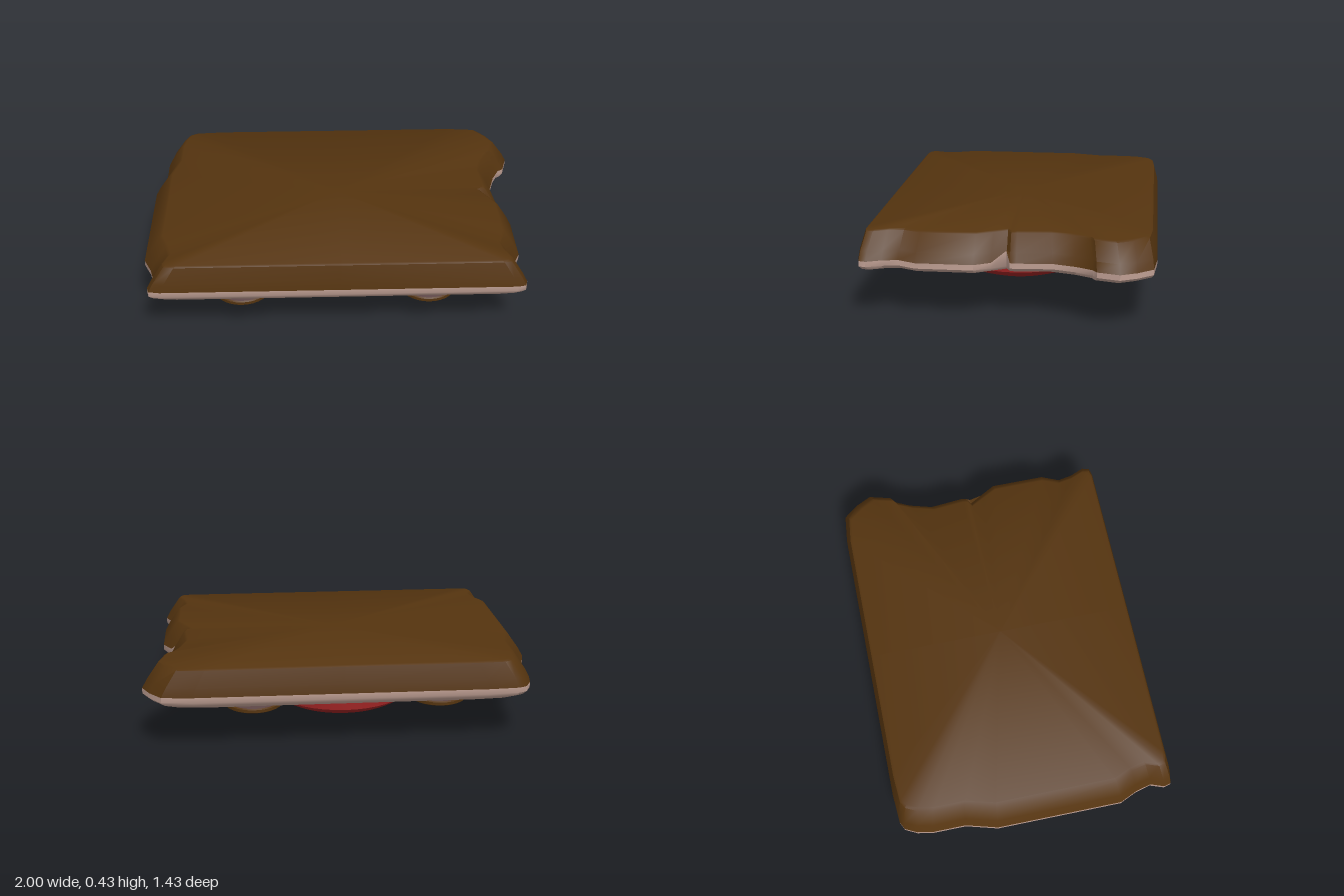
import * as THREE from 'three';
import { toCreasedNormals } from 'three/addons/utils/BufferGeometryUtils.js';

const mat = (name, color, side = THREE.FrontSide) => {
  const m = new THREE.MeshStandardMaterial({ color, side });
  m.name = name;
  return m;
};

// Uneven slab outline, x and z pairs, starting at the back
const OUTLINE = [
  [-0.72, -0.72], [0, -0.72], [0.75, -0.72], [0.9, -0.705], [0.96, -0.63], [1, -0.55], [0.97, -0.44],
  [0.94, -0.42], [0.9, -0.34], [0.865, -0.22], [0.88, -0.05], [0.875, -0.02], [0.84, 0], [0.88, 0.07],
  [0.925, 0.15], [0.925, 0.43], [0.885, 0.52], [0.9, 0.6], [0.93, 0.67], [0.92, 0.705], [0.88, 0.715],
  [0, 0.715], [-0.9, 0.715], [-0.955, 0.705], [-0.965, 0.67], [-0.94, 0.6], [-0.96, 0.52], [-1, 0.43],
  [-1, -0.22], [-0.955, -0.38], [-0.955, -0.55], [-0.94, -0.63], [-0.91, -0.69], [-0.87, -0.71],
];
const NOTCH = 12;

// Skin scaled copies of the outline, given bottom to top as [y, xScale, zScale, notchRise]
function loft(levels, cap) {
  const n = OUTLINE.length, pos = [], idx = [];
  for (const [y, sx, sz, rise = 0] of levels)
    OUTLINE.forEach(([x, z], i) => pos.push(x * sx, y + (i === NOTCH ? rise : 0), z * sz));
  for (let k = 0; k < levels.length - 1; k++)
    for (let i = 0; i < n; i++) {
      const a = k * n + i, b = k * n + (i + 1) % n;
      idx.push(a, a + n, b, b, a + n, b + n);
    }
  const top = cap === 'top', base = top ? (levels.length - 1) * n : 0;
  const c = pos.length / 3;
  pos.push(0, levels[top ? levels.length - 1 : 0][0], 0);
  for (let i = 0; i < n; i++) {
    const a = base + i, b = base + (i + 1) % n;
    idx.push(c, top ? b : a, top ? a : b);
  }
  const g = new THREE.BufferGeometry();
  g.setAttribute('position', new THREE.Float32BufferAttribute(pos, 3));
  g.setIndex(idx);
  return toCreasedNormals(g, 0.7);
}

// Lathe from [radius, y] points, listed bottom to top
const lathe = (pts, seg = 32) =>
  toCreasedNormals(new THREE.LatheGeometry(pts.map(p => new THREE.Vector2(...p)), seg), 0.7);

export function createModel() {
  const root = new THREE.Group();
  const brown = mat('brown', 0x55340f);
  const pink = mat('palePink', 0xbf9f93);
  const mauve = mat('mauveBrown', 0x5a4343, THREE.DoubleSide);
  const red = mat('red', 0x9c2323);
  const darkRed = mat('darkRed', 0x4a1414);
  const grey = mat('grey', 0x858585);
  const darkBrown = mat('darkBrown', 0x3c270f);

  const add = (name, geo, material, x = 0, y = 0, z = 0, parent = root) => {
    const m = new THREE.Mesh(geo, material);
    m.name = name;
    m.position.set(x, y, z);
    parent.add(m);
    return m;
  };

  // Slab: pale underside and brown cover
  add('underside', loft([[0.235, 0.91, 0.965], [0.25, 0.98, 0.985], [0.268, 1, 1],
    [0.295, 1, 1, 0.05]], 'bottom'), pink);
  add('cover', loft([[0.295, 1, 1, 0.05], [0.34, 0.975, 0.993], [0.425, 0.915, 0.965],
    [0.432, 0.9, 0.95]], 'top'), brown);

  // Four studs beneath the slab
  for (const x of [0.447, -0.5])
    for (const z of [0.5, -0.445]) {
      const stud = new THREE.Group();
      stud.name = 'stud';
      stud.position.set(x, x > 0 && z < 0 ? 0.164 : 0.174, z);
      stud.scale.set(0.152, 1, z > 0 ? 0.168 : 0.175);
      root.add(stud);
      add('studNeck', lathe([[0.96, 0.024], [0.76, 0.036], [0.76, 0.046], [0.85, 0.056], [0.85, 0.075]]),
        mauve, 0, 0, 0, stud);
      add('studRim', lathe([[0.5, 0.012], [0.55, 0.002], [0.95, 0], [1, 0.005], [1, 0.02], [0.96, 0.025]]),
        brown, 0, 0, 0, stud);
      add('studCentre', new THREE.CylinderGeometry(0.52, 0.52, 0.03, 32), grey, 0, 0.006, 0, stud);
    }

  // Round red dish with a grey band above it
  add('dish', lathe([[0, 0], [0.245, 0], [0.31, 0.024], [0.36, 0.05], [0.374, 0.065], [0.374, 0.115]], 40),
    red, -0.04, 0, 0.028);
  add('dishBand', new THREE.CylinderGeometry(0.374, 0.374, 0.05, 40), grey, -0.04, 0.14, 0.028);
  add('dishSpot', new THREE.CylinderGeometry(0.12, 0.12, 0.004, 32), darkRed, -0.05, 0.001, 0.12);
  for (const [x, z] of [[0.01, 0.14], [-0.07, 0.16]])
    add('dishFleck', new THREE.CylinderGeometry(0.014, 0.014, 0.004, 8), grey, x, 0, z);

  // Dark stains and a scratch on the underside
  for (const [x, z, along, across] of [[0.277, -0.035, 0.11, 0.065], [-0.77, -0.49, 0.06, 0.12]]) {
    const stain = add('stain', new THREE.CylinderGeometry(1, 1, 0.006, 24), darkBrown, x, 0.234, z);
    stain.scale.set(along, 1, across);
    stain.rotation.y = -0.7;
  }
  const scratch = add('scratch', new THREE.BoxGeometry(0.03, 0.006, 0.36), darkBrown, -0.55, 0.234, -0.1);
  scratch.rotation.y = 0.1;

  return root;
}
